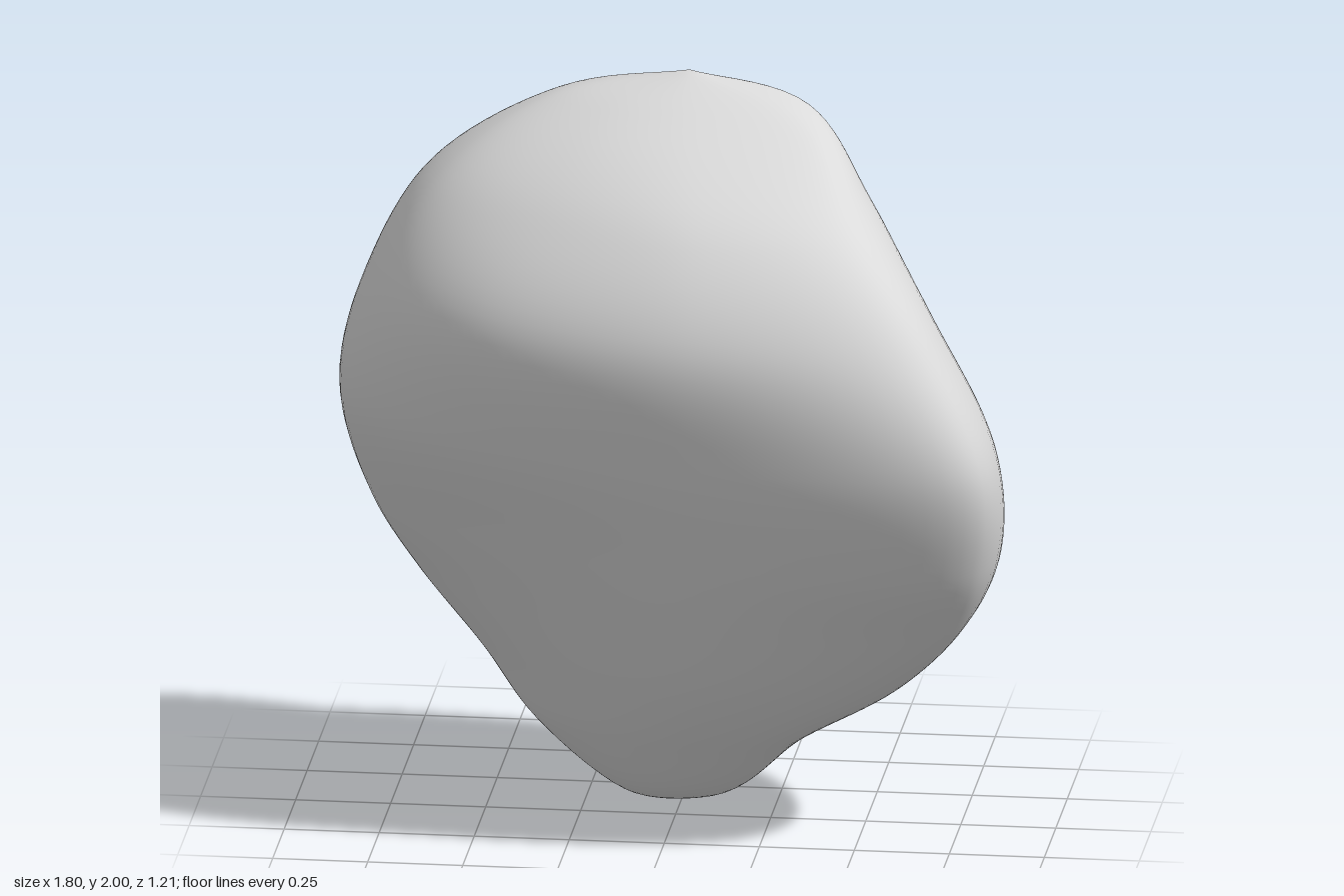
import * as THREE from 'three';
import { mergeVertices } from 'three/addons/utils/BufferGeometryUtils.js';

// Heights of the horizontal cross-sections
const heights = [0.04, 0.22, 0.4, 0.6, 0.82, 1.12, 1.45, 1.72, 1.92];

// Eight x, z corners per section: left front, front, right front, right,
// right back, back, left back, left
const sections = [
  [0.11, -0.06, -0.02, -0.02, -0.13, -0.06, -0.18, -0.16, -0.14, -0.27, -0.03, -0.35, 0.09, -0.33, 0.15, -0.18],
  [0.29, 0.08, 0.02, 0.145, -0.24, 0.05, -0.39, -0.13, -0.32, -0.33, -0.06, -0.41, 0.17, -0.415, 0.34, -0.16],
  [0.57, 0.16, 0.07, 0.27, -0.33, 0.1, -0.53, -0.16, -0.48, -0.41, -0.1, -0.41, 0.24, -0.425, 0.58, -0.11],
  [0.75, 0.27, 0.1, 0.37, -0.4, 0.17, -0.69, -0.15, -0.66, -0.545, -0.13, -0.49, 0.34, -0.46, 0.72, -0.09],
  [0.83, 0.42, 0.1, 0.46, -0.45, 0.26, -0.81, -0.09, -0.73, -0.575, -0.15, -0.49, 0.38, -0.45, 0.82, -0.05],
  [0.845, 0.52, 0.1, 0.56, -0.47, 0.39, -0.865, 0.02, -0.835, -0.48, -0.2, -0.46, 0.38, -0.4, 0.79, 0],
  [0.7, 0.48, 0.1, 0.595, -0.47, 0.42, -0.78, 0.06, -0.78, -0.31, -0.2, -0.35, 0.31, -0.32, 0.64, 0.03],
  [0.5, 0.34, 0.1, 0.43, -0.33, 0.28, -0.63, 0.01, -0.63, -0.255, -0.15, -0.3, 0.26, -0.265, 0.5, -0.02],
  [0.31, -0.02, 0.04, 0.04, -0.2, -0.01, -0.35, -0.12, -0.31, -0.225, -0.05, -0.245, 0.19, -0.225, 0.34, -0.12],
];

const AROUND = 96, UP = 90;

// Smooth closed loop through the corners of one section
function ring(flat, y) {
  const corners = [];
  for (let i = 0; i < flat.length; i += 2) corners.push(new THREE.Vector3(flat[i], y, flat[i + 1]));
  const curve = new THREE.CatmullRomCurve3(corners, true);
  return Array.from({ length: AROUND }, (_, i) => curve.getPoint(i / AROUND));
}

// Skin the rings with smooth curves running from the lowest to the highest point
function boulderGeometry() {
  const rings = sections.map((s, k) => ring(s, heights[k]));
  const bottom = new THREE.Vector3(-0.03, 0, -0.17);
  const top = new THREE.Vector3(0.02, 2, -0.14);
  const positions = [], index = [];
  for (let i = 0; i < AROUND; i++) {
    const rib = new THREE.CatmullRomCurve3([bottom, ...rings.map((r) => r[i]), top]);
    for (let j = 0; j <= UP; j++) positions.push(...rib.getPoint(j / UP).toArray());
  }
  const at = (i, j) => (i % AROUND) * (UP + 1) + j;
  for (let i = 0; i < AROUND; i++) {
    for (let j = 0; j < UP; j++) {
      if (j < UP - 1) index.push(at(i, j), at(i, j + 1), at(i + 1, j + 1));
      if (j > 0) index.push(at(i, j), at(i + 1, j + 1), at(i + 1, j));
    }
  }
  const skin = new THREE.BufferGeometry();
  skin.setAttribute('position', new THREE.Float32BufferAttribute(positions, 3));
  skin.setIndex(index);
  const geometry = mergeVertices(skin);
  geometry.computeVertexNormals();
  return geometry;
}

export function createModel() {
  const stone = new THREE.MeshStandardMaterial({ color: 0xdadada });
  stone.name = 'pale stone grey';
  const boulder = new THREE.Mesh(boulderGeometry(), stone);
  boulder.name = 'boulder';
  const group = new THREE.Group();
  group.name = 'rock';
  group.add(boulder);
  return group;
}
